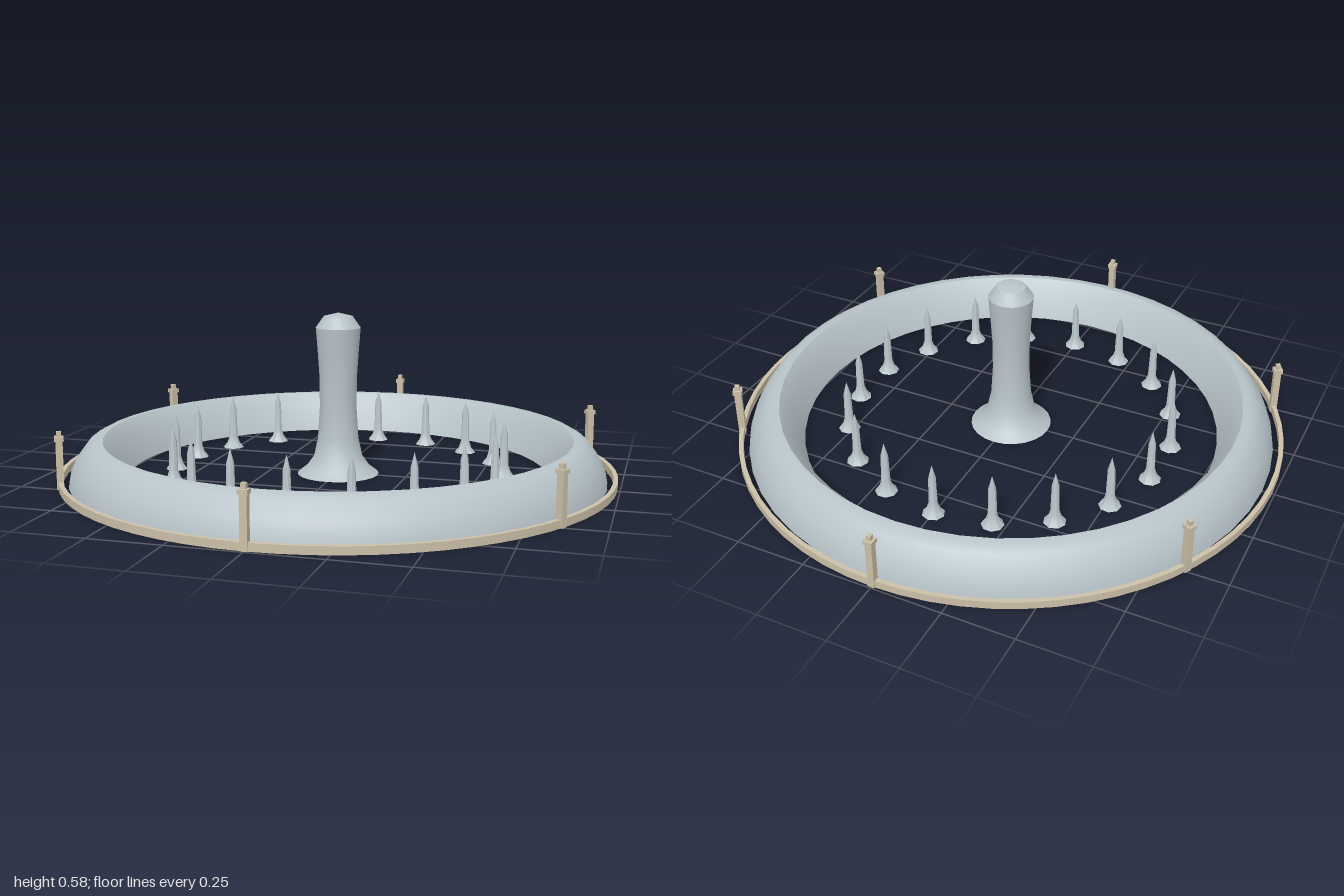
import * as THREE from 'three';
import { toCreasedNormals } from 'three/addons/utils/BufferGeometryUtils.js';

const stone = new THREE.MeshStandardMaterial({ color: 0xb8c4c9, side: THREE.DoubleSide });
stone.name = 'pale stone';
const metal = new THREE.MeshStandardMaterial({ color: 0xcbbfa8, side: THREE.DoubleSide });
metal.name = 'tan metal';

// Revolve a list of [radius, height] points around the vertical axis
function lathe(name, points, segments, material, crease = 0.55) {
  const profile = points.map(([r, y]) => new THREE.Vector2(r, y));
  const geometry = toCreasedNormals(new THREE.LatheGeometry(profile, segments), crease);
  const mesh = new THREE.Mesh(geometry, material);
  mesh.name = name;
  return mesh;
}

function box(name, w, h, d, y) {
  const mesh = new THREE.Mesh(new THREE.BoxGeometry(w, h, d), metal);
  mesh.name = name;
  mesh.position.y = y;
  return mesh;
}

// Call make() count times and stand the results on a circle
function circle(group, count, radius, make) {
  for (let i = 0; i < count; i++) {
    const angle = (i / count) * Math.PI * 2;
    const item = make();
    item.position.set(Math.sin(angle) * radius, 0, Math.cos(angle) * radius);
    item.rotation.y = angle;
    group.add(item);
  }
}

function makePost() {
  const post = new THREE.Group();
  post.name = 'railPost';
  post.add(
    box('postShaft', 0.024, 0.17, 0.024, 0.085),
    box('postCap', 0.032, 0.015, 0.032, 0.1775),
    box('postFinial', 0.016, 0.018, 0.016, 0.194),
  );
  return post;
}

export function createModel() {
  const model = new THREE.Group();
  model.name = 'fountain';

  // Basin wall: a hollow shell, open underneath
  model.add(lathe('basinRim', [
    [0.957, 0], [0.95, 0.035], [0.93, 0.08], [0.892, 0.13], [0.865, 0.145],
    [0.837, 0.147], [0.797, 0.1], [0.757, 0],
  ], 48, stone));

  // Central column with flared foot and domed top
  model.add(lathe('centralColumn', [
    [0.147, 0], [0.115, 0.025], [0.087, 0.065], [0.073, 0.13], [0.066, 0.24],
    [0.067, 0.35], [0.073, 0.44], [0.08, 0.53], [0.052, 0.57], [0, 0.583],
  ], 24, stone));

  // Ring of water jets
  circle(model, 18, 0.595, () => lathe('waterJet', [
    [0.04, 0], [0.024, 0.02], [0.016, 0.045], [0.013, 0.15], [0, 0.2],
  ], 8, stone));

  // Low outer rail and its posts
  model.add(lathe('outerRail', [
    [0.976, 0], [0.992, 0], [0.992, 0.027], [0.976, 0.027], [0.976, 0],
  ], 64, metal));
  circle(model, 6, 0.984, makePost);

  return model;
}
